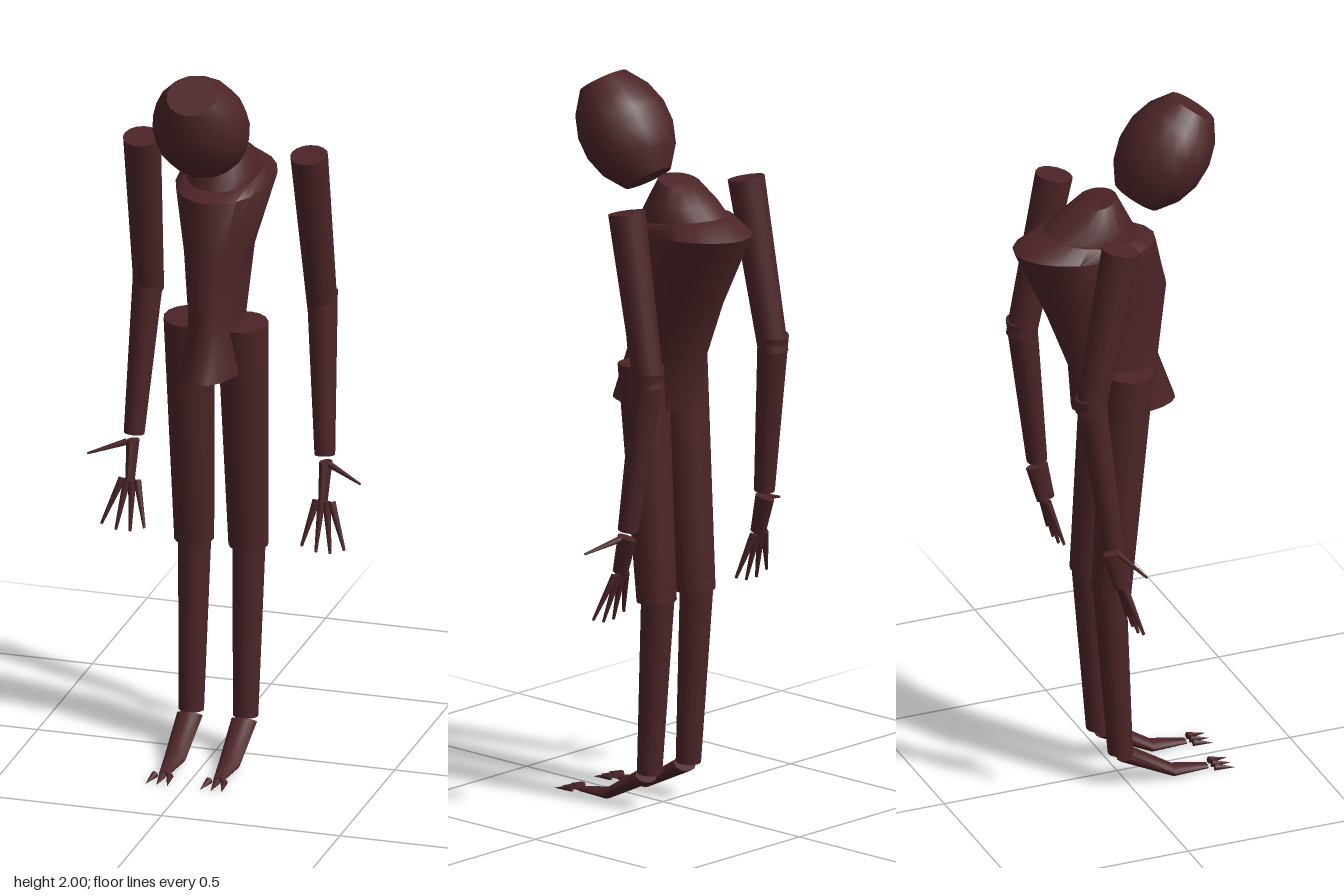
import * as THREE from 'three';
import { toCreasedNormals } from 'three/addons/utils/BufferGeometryUtils.js';

const skin = new THREE.MeshStandardMaterial({ color: 0x4c2426 });
skin.name = 'dark maroon';

function part(name, geometry, parent) {
  const mesh = new THREE.Mesh(geometry, skin);
  mesh.name = name;
  parent.add(mesh);
  return mesh;
}

// Tapered round limb from point a to point b
function limb(name, a, b, ra, rb, parent, sides = 16) {
  const from = new THREE.Vector3(...a), to = new THREE.Vector3(...b);
  const dir = to.clone().sub(from);
  const mesh = part(name, new THREE.CylinderGeometry(rb, ra, dir.length(), sides), parent);
  mesh.position.copy(from).add(to).multiplyScalar(0.5);
  mesh.quaternion.setFromUnitVectors(new THREE.Vector3(0, 1, 0), dir.normalize());
  return mesh;
}

// Capped loft through elliptical rings: [half width, front z, front y, back z, back y]
function loft(rings, sides = 20, crease = 0.9) {
  const first = rings[0], last = rings[rings.length - 1];
  const collapse = ([, zf, yf, zb, yb]) => [0, (zf + zb) / 2, (yf + yb) / 2, (zf + zb) / 2, (yf + yb) / 2];
  const all = [collapse(first), ...rings, collapse(last)];
  const pos = [], index = [];
  for (const [w, zf, yf, zb, yb] of all) {
    for (let i = 0; i < sides; i++) {
      const t = (i / sides) * Math.PI * 2, k = (1 + Math.cos(t)) / 2;
      pos.push(w * Math.sin(t), yb + (yf - yb) * k, zb + (zf - zb) * k);
    }
  }
  for (let r = 0; r < all.length - 1; r++) {
    for (let i = 0; i < sides; i++) {
      const j = (i + 1) % sides;
      const a = r * sides + i, b = r * sides + j, c = a + sides, d = b + sides;
      if (r > 0) index.push(a, b, d);
      if (r < all.length - 2) index.push(a, d, c);
      if (r === 0) index.pop(), index.pop(), index.pop(), index.push(a, d, c);
    }
  }
  const g = new THREE.BufferGeometry();
  g.setAttribute('position', new THREE.Float32BufferAttribute(pos, 3));
  g.setIndex(index);
  return toCreasedNormals(g, crease);
}

export function createModel() {
  const model = new THREE.Group();
  model.name = 'hunchedFigure';

  // Head: blunt egg leaning forward
  const profile = [[0, -0.146], [0.065, -0.146], [0.104, -0.09], [0.122, -0.03],
    [0.122, 0.03], [0.104, 0.09], [0.066, 0.146], [0, 0.146]]
    .map(([x, y]) => new THREE.Vector2(x, y));
  const head = part('head', toCreasedNormals(new THREE.LatheGeometry(profile, 16), 0.8), model);
  head.position.set(0, 1.845, 0.137);
  head.rotation.x = 0.602;
  head.scale.x = 1.06;

  // Torso: flared waist, wide shoulders and hunched back
  part('torso', loft([
    [0.085, 0.165, 1.11, -0.13, 1.12],
    [0.072, 0.115, 1.25, -0.14, 1.25],
    [0.085, 0.14, 1.46, -0.205, 1.42],
    [0.13, 0.105, 1.61, -0.296, 1.62],
    [0.11, 0.055, 1.625, -0.22, 1.665],
  ]), model);

  // Neck: short stump rising from the hump
  part('neck', loft([
    [0.1, 0.065, 1.6, -0.24, 1.64],
    [0.098, 0.045, 1.65, -0.17, 1.695],
    [0.06, -0.005, 1.75, -0.115, 1.73],
  ]), model);

  for (const s of [1, -1]) {
    const side = s > 0 ? 'left' : 'right';

    // Leg
    const leg = new THREE.Group();
    leg.name = side + 'Leg';
    model.add(leg);
    limb('thigh', [0.075 * s, 1.24, 0.002], [0.076 * s, 0.585, -0.048], 0.069, 0.054, leg);
    limb('shin', [0.076 * s, 0.64, -0.055], [0.076 * s, 0.1, -0.022], 0.046, 0.034, leg);
    const foot = part('foot', loft([
      [0.014, 0.228, 0.014, 0.228, 0],
      [0.03, 0.13, 0.03, 0.125, 0],
      [0.036, 0.012, 0.105, -0.03, 0.075],
    ], 12), leg);
    foot.position.x = 0.076 * s;
    for (const k of [-1, 0, 1]) {
      limb('toeClaw', [(0.076 + 0.021 * k) * s, 0.009, 0.243], [(0.076 + 0.03 * k) * s, 0.002, 0.296],
        0.01, 0.0005, leg, 8);
    }

    // Arm
    const arm = new THREE.Group();
    arm.name = side + 'Arm';
    model.add(arm);
    limb('upperArm', [0.234 * s, 1.706, -0.086], [0.243 * s, 1.235, -0.178], 0.051, 0.041, arm);
    limb('forearm', [0.243 * s, 1.285, -0.177], [0.267 * s, 0.835, -0.122], 0.042, 0.028, arm);
    const palm = part('palm', loft([
      [0.011, -0.07, 0.715, -0.12, 0.705],
      [0.016, -0.09, 0.82, -0.152, 0.81],
    ], 12), arm);
    palm.position.x = 0.27 * s;

    // Fingers fan out below the palm, thumb points sideways
    for (let f = 0; f < 4; f++) {
      limb('finger', [(0.251 + 0.014 * f) * s, 0.71, -0.098], [(0.22 + 0.04 * f) * s, f % 3 ? 0.575 : 0.588, -0.062],
        0.011, 0.004, arm, 8);
    }
    limb('thumb', [0.284 * s, 0.812, -0.11], [0.382 * s, 0.782, -0.07], 0.009, 0.003, arm, 8);
  }
  return model;
}
